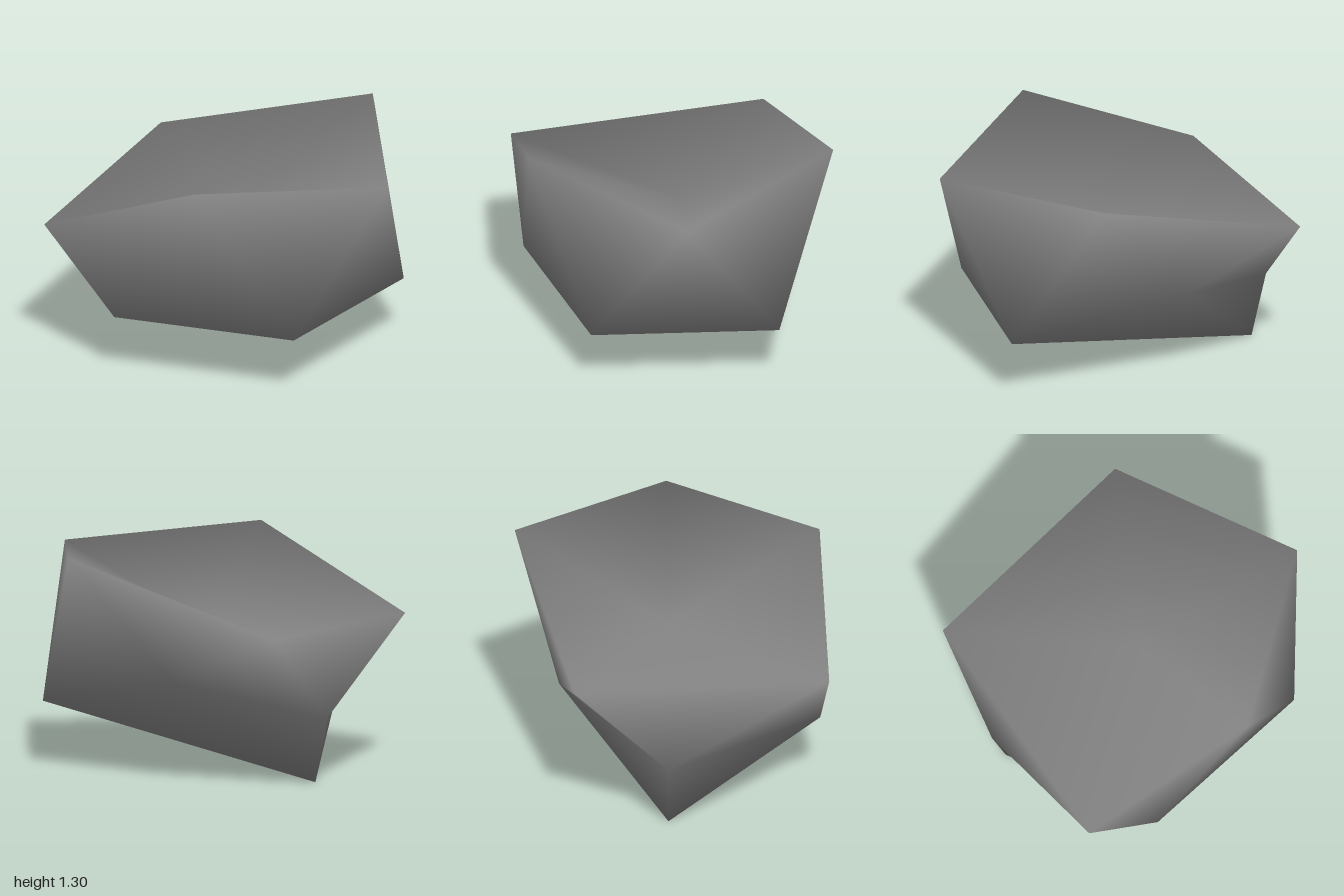
import * as THREE from 'three';

// A smooth-shaded twelve-point boulder: two staggered rings of five, closed by two poles, with dents.
export function createModel() {
  const model = new THREE.Group();
  model.name = 'boulder';
  const stone = new THREE.MeshStandardMaterial({ color: 0x808080, side: THREE.DoubleSide });
  stone.name = 'stoneGrey';

  const centre = new THREE.Vector3(-0.025, 0.84, -0.025);
  const R = 1.03, ringRadius = R * 0.8944, ringHeight = R * 0.4472;
  const points = [];
  const ring = (height, turn) => {
    for (let i = 0; i < 5; i++) {
      const a = (i + turn) * Math.PI * 2 / 5;
      points.push(new THREE.Vector3(Math.cos(a) * ringRadius, height, Math.sin(a) * ringRadius).add(centre));
    }
  };
  ring(ringHeight, 0);     // upper ring: 0-4
  ring(-ringHeight, 0.5);  // lower ring: 5-9
  const top = 10, bottom = 11;
  points.push(centre.clone());                          // top pole sunk into a hollow
  points.push(new THREE.Vector3(-0.86, 0, -0.025));     // bottom pole pulled aside

  // Pushed and pulled corners
  points[0].set(1, 1.22, -0.025);
  points[2].set(-0.77, 0.86, 0.9);
  points[3].set(-1, 0.91, -0.566);
  points[8].set(-0.31, 0.605, -0.65);

  // Cap, two side bands and base
  const index = [];
  for (let i = 0; i < 5; i++) {
    const j = (i + 1) % 5;
    index.push(top, j, i, i, j, 5 + i, 5 + i, j, 5 + j, bottom, 5 + i, 5 + j);
  }
  const geometry = new THREE.BufferGeometry().setFromPoints(points);
  geometry.setIndex(index);
  geometry.computeVertexNormals();

  const rock = new THREE.Mesh(geometry, stone);
  rock.name = 'rock';
  model.add(rock);
  return model;
}
